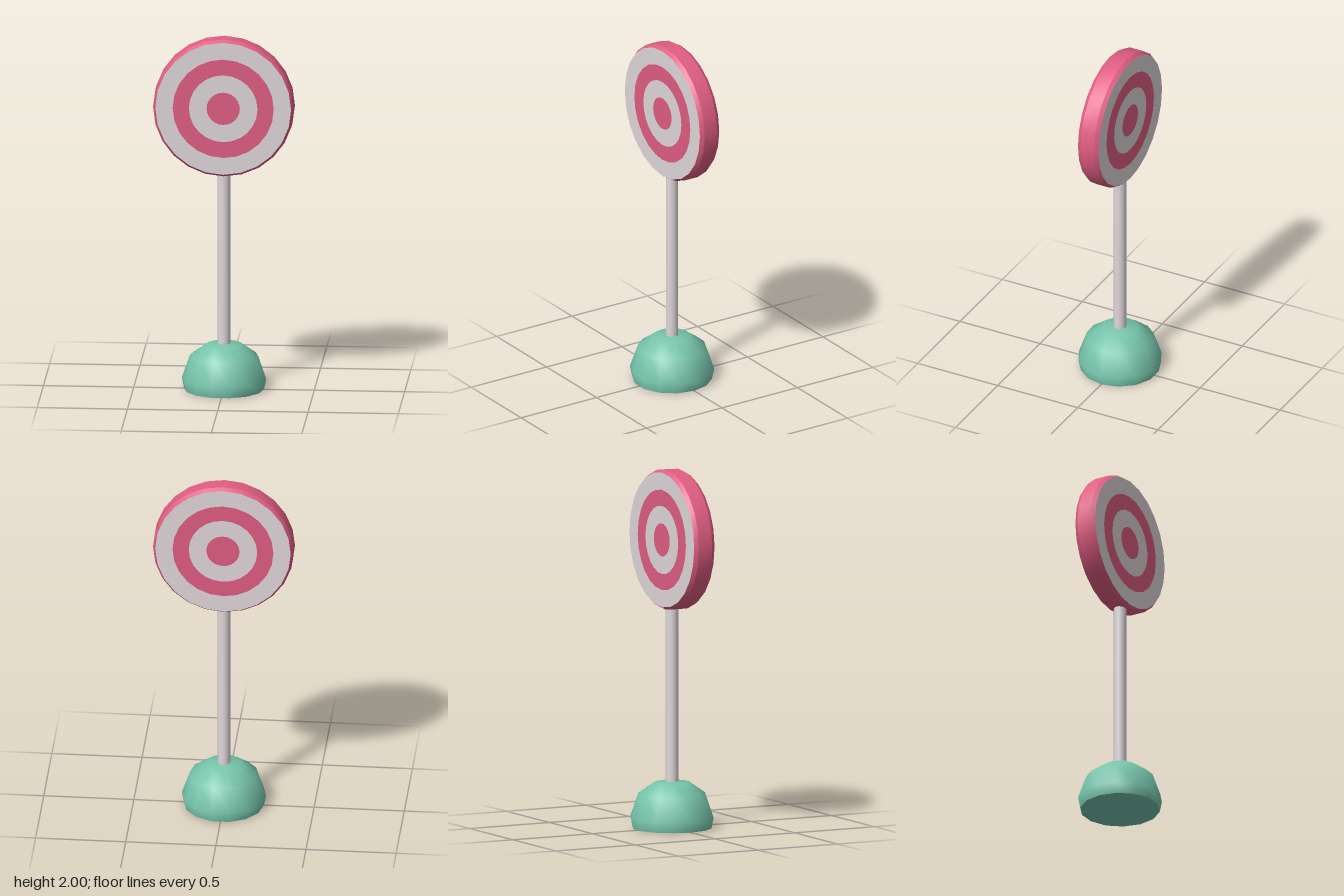
import * as THREE from 'three';
import { toCreasedNormals } from 'three/addons/utils/BufferGeometryUtils.js';

const SIDES = 24;
const CENTRE_Y = 1.61;
const HALF_DEPTH = 0.064;
const FACE_RADIUS = 0.376;

function material(name, color) {
  const m = new THREE.MeshStandardMaterial({ color });
  m.name = name;
  return m;
}

function addMesh(parent, name, geometry, mat) {
  const mesh = new THREE.Mesh(geometry, mat);
  mesh.name = name;
  parent.add(mesh);
  return mesh;
}

const profile = (points) => points.map(([x, y]) => new THREE.Vector2(x, y));

export function createModel() {
  const pink = material('pink', 0xe05d82);
  const white = material('off white', 0xe0d7da);
  const green = material('sea green', 0x76c4ab);
  const model = new THREE.Group();
  model.name = 'targetOnStand';

  // Domed foot with a flat underside
  const step = Math.PI / 14;
  const dome = profile([[0.221, 0], [0.234, 0.06], [0.189, 0.19], [0.098, 0.255], [0, 0.262]]);
  addMesh(model, 'baseDome', new THREE.LatheGeometry(dome, 14, step), green);
  const underside = new THREE.CircleGeometry(0.221, 14, step + Math.PI / 2);
  underside.rotateX(Math.PI / 2);
  addMesh(model, 'baseUnderside', underside, green);

  // Pole, sunk into the foot and the disc
  const pole = addMesh(model, 'pole', new THREE.CylinderGeometry(0.035, 0.035, 1.02, 16), white);
  pole.position.y = 0.75;

  // Disc with a bevelled rim
  const disc = new THREE.Group();
  disc.name = 'targetDisc';
  disc.position.y = CENTRE_Y;
  model.add(disc);
  const rimProfile = profile([
    [FACE_RADIUS, -HALF_DEPTH], [0.39, -0.042], [0.39, 0.042], [FACE_RADIUS, HALF_DEPTH],
  ]);
  const rim = toCreasedNormals(new THREE.LatheGeometry(rimProfile, SIDES), 0.4);
  rim.rotateX(Math.PI / 2);
  addMesh(disc, 'rim', rim, pink);

  // Concentric rings on both faces
  const rings = [
    ['outerRing', 0.28, FACE_RADIUS, white],
    ['middleRing', 0.19, 0.28, pink],
    ['innerRing', 0.092, 0.19, white],
  ];
  for (const side of ['front', 'back']) {
    const face = new THREE.Group();
    face.name = side + 'Face';
    if (side === 'back') face.rotation.y = Math.PI;
    disc.add(face);
    for (const [name, inner, outer, mat] of rings) {
      addMesh(face, name, new THREE.RingGeometry(inner, outer, SIDES, 1, Math.PI / 2), mat)
        .position.z = HALF_DEPTH;
    }
    addMesh(face, 'bullseye', new THREE.CircleGeometry(0.092, SIDES, Math.PI / 2), pink)
      .position.z = HALF_DEPTH;
  }

  return model;
}
